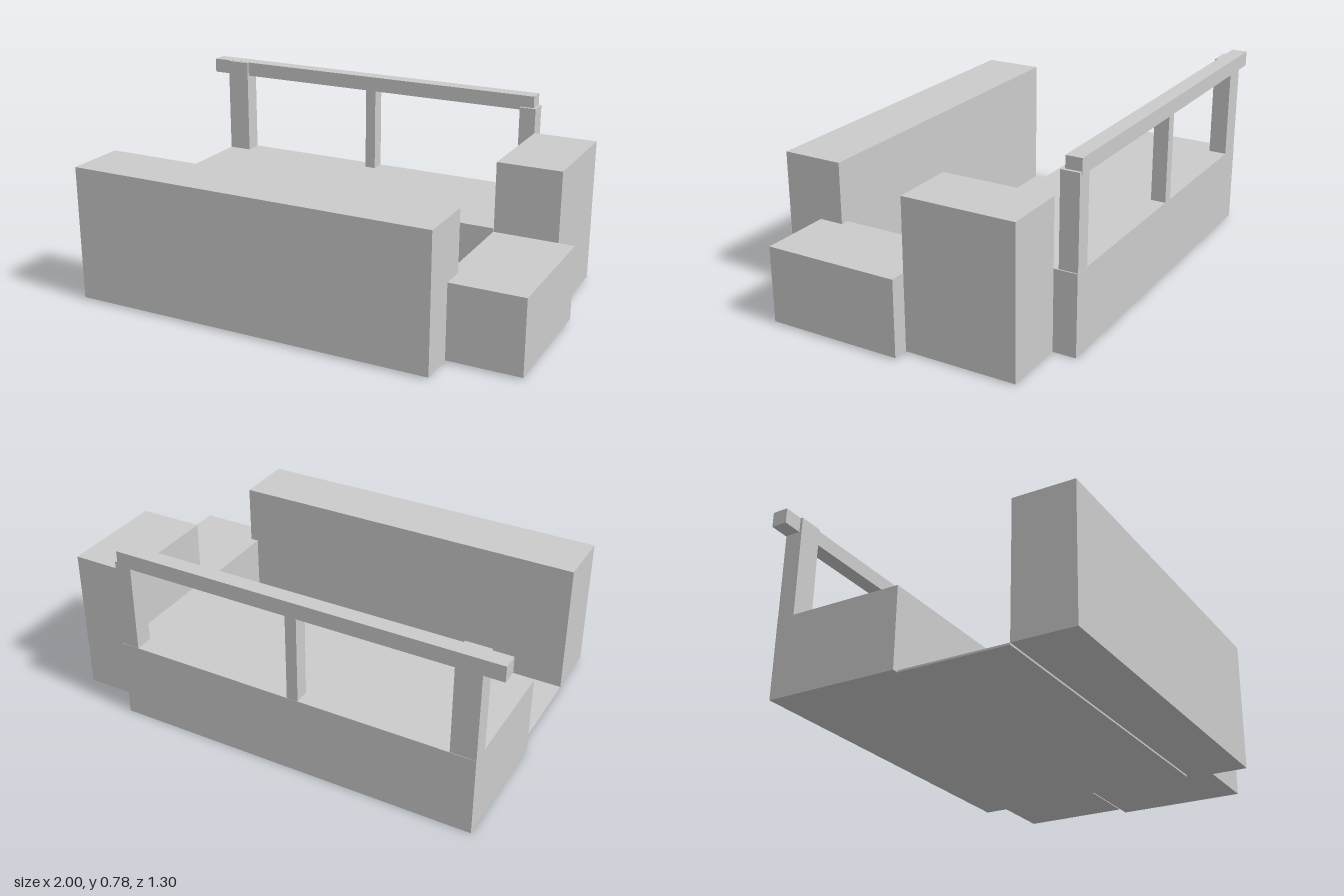
import * as THREE from 'three';

const material = new THREE.MeshStandardMaterial({ color: 0xcccccc, flatShading: true });

// Box given by its [min, max] extent along each axis
function block(name, [x0, x1], [y0, y1], [z0, z1]) {
  const mesh = new THREE.Mesh(new THREE.BoxGeometry(x1 - x0, y1 - y0, z1 - z0), material);
  mesh.position.set((x0 + x1) / 2, (y0 + y1) / 2, (z0 + z1) / 2);
  mesh.name = name;
  return mesh;
}

export function createModel() {
  const group = new THREE.Group();
  group.name = 'blockStage';

  // Main masses: thin floor between the front wall and the raised back platform
  group.add(
    block('floor', [-0.89, 0.645], [0, 0.008], [-0.08, 0.386]),
    block('frontWall', [-0.89, 0.69], [0.008, 0.586], [0.386, 0.648]),
    block('backPlatform', [-0.917, 0.655], [0, 0.342], [-0.648, -0.08]),
  );

  // Side blocks stepping up towards the back
  group.add(
    block('lowStep', [0.655, 1], [0.008, 0.327], [-0.081, 0.491]),
    block('tallStep', [0.657, 0.932], [0.004, 0.627], [-0.551, -0.081]),
  );

  // Railing: three posts of different widths under one long beam
  const railing = new THREE.Group();
  railing.name = 'railing';
  const posts = [
    ['rightPost', -0.917, -0.812, 0.779, -0.57],
    ['middlePost', -0.176, -0.128, 0.72, -0.583],
    ['leftPost', 0.578, 0.65, 0.729, -0.568],
  ];
  for (const [name, x0, x1, top, front] of posts) {
    railing.add(block(name, [x0, x1], [0.342, top], [-0.647, front]));
  }
  railing.add(block('topRail', [-1, 0.637], [0.715, 0.78], [-0.649, -0.581]));
  group.add(railing);

  return group;
}
